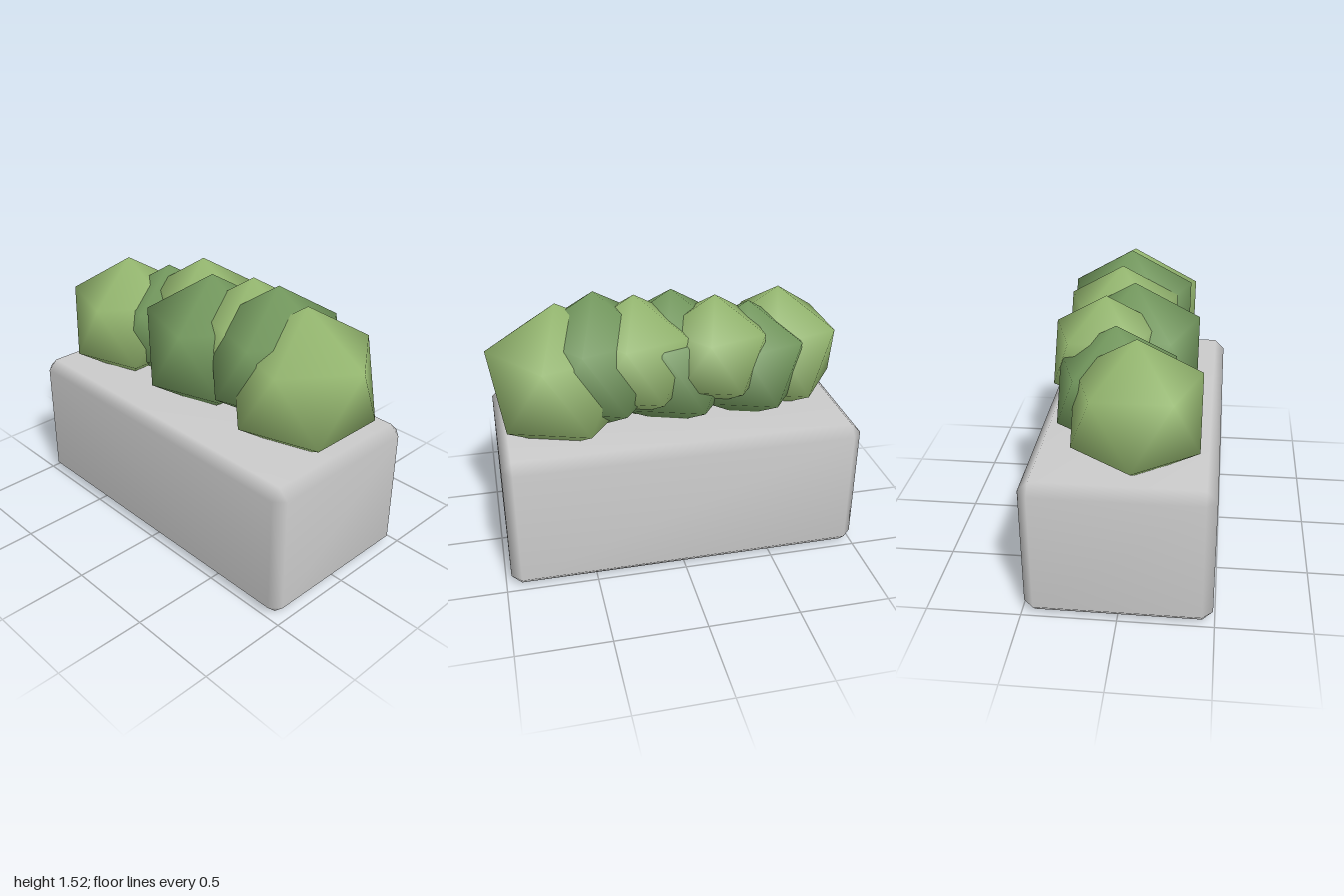
import * as THREE from 'three';
import { mergeVertices } from 'three/addons/utils/BufferGeometryUtils.js';
import { ConvexGeometry } from 'three/addons/geometries/ConvexGeometry.js';

// Box with a single chamfer on every edge and smooth shading
function chamferedBox(w, h, d, c) {
  const points = [];
  for (const sx of [-1, 1]) for (const sy of [-1, 1]) for (const sz of [-1, 1]) {
    for (let axis = 0; axis < 3; axis++) {
      const inset = [c, c, c];
      inset[axis] = 0;
      points.push(new THREE.Vector3(
        sx * (w / 2 - inset[0]), sy * (h / 2 - inset[1]), sz * (d / 2 - inset[2])));
    }
  }
  const hull = new ConvexGeometry(points);
  hull.deleteAttribute('normal');
  const geometry = mergeVertices(hull, 1e-4);
  geometry.computeVertexNormals();
  return geometry;
}

// Icosahedron standing on a vertex, with radial (smooth) normals
function bushGeometry() {
  const geometry = new THREE.IcosahedronGeometry(1, 0);
  geometry.rotateZ(-Math.atan(2 / (1 + Math.sqrt(5))));
  geometry.setAttribute('normal', geometry.attributes.position.clone());
  return geometry;
}

export function createModel() {
  const group = new THREE.Group();
  const stone = new THREE.MeshStandardMaterial({ color: 0xcccccc });
  const lightGreen = new THREE.MeshStandardMaterial({ color: 0x98bb72 });
  const darkGreen = new THREE.MeshStandardMaterial({ color: 0x769c60 });

  // Planter block
  const planter = new THREE.Mesh(chamferedBox(1.97, 0.775, 0.98, 0.055), stone);
  planter.name = 'planter';
  planter.position.set(-0.015, 0.3875, 0);
  group.add(planter);

  // Row of overlapping bushes, alternating light and dark: x, y, z, radius
  const bushes = [
    [-0.65, 1.04, 0.07, 0.38],
    [-0.44, 1.045, -0.055, 0.355],
    [-0.23, 1.155, -0.13, 0.325],
    [-0.02, 1.07, 0, 0.41],
    [0.2, 1.145, -0.09, 0.355],
    [0.41, 1.125, -0.06, 0.4],
    [0.61, 1.05, -0.06, 0.425],
  ];
  const geometry = bushGeometry();
  bushes.forEach(([x, y, z, r], i) => {
    const bush = new THREE.Mesh(geometry, i % 2 ? darkGreen : lightGreen);
    bush.name = `bush${i + 1}`;
    bush.position.set(x, y, z);
    bush.scale.setScalar(r);
    group.add(bush);
  });
  return group;
}
